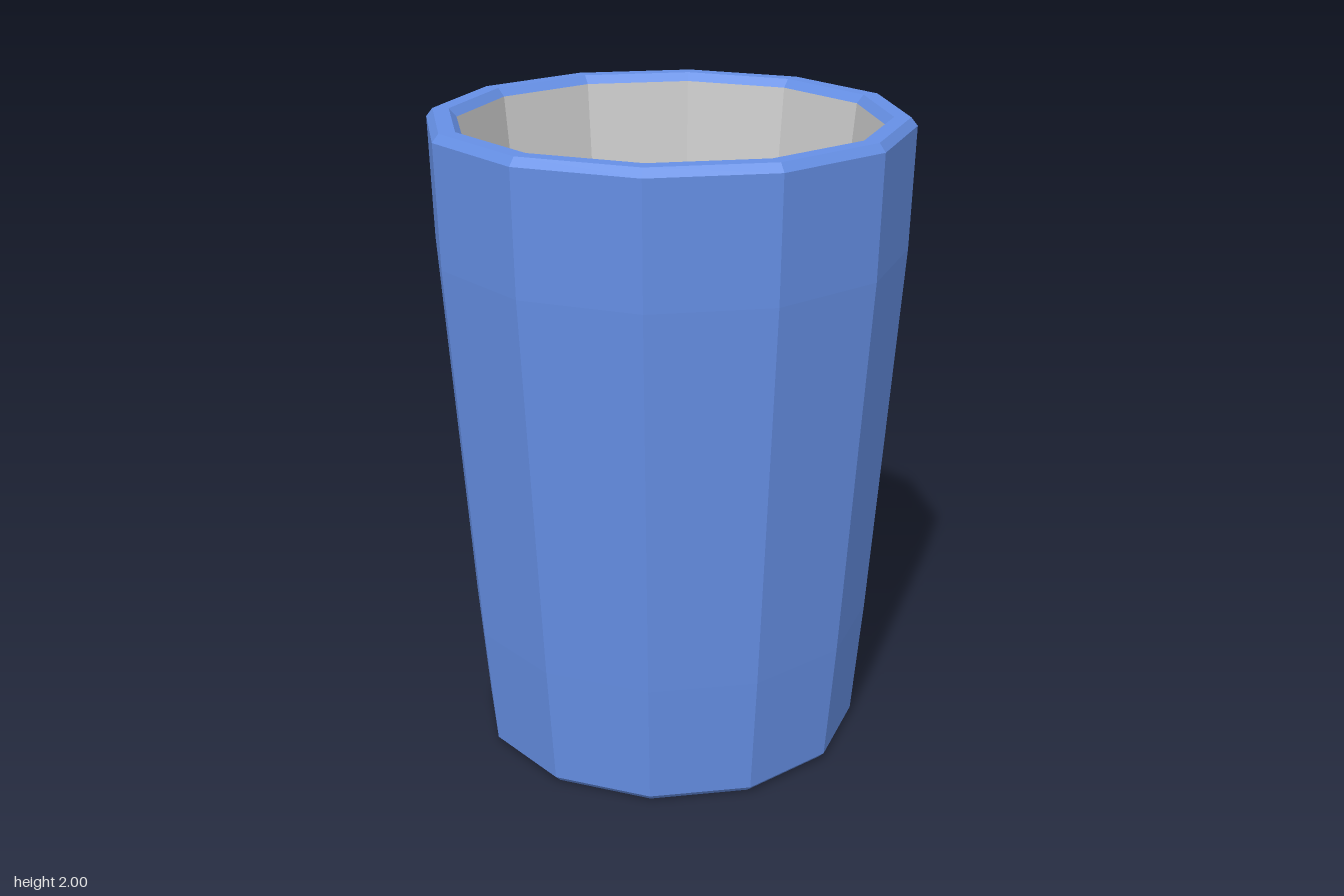
import * as THREE from 'three';

const SIDES = 12;

// Revolves [radius, height] points into a faceted ring of panels
function faceted(name, points, material) {
  const profile = points.map(([r, y]) => new THREE.Vector2(r, y));
  const mesh = new THREE.Mesh(new THREE.LatheGeometry(profile, SIDES), material);
  mesh.name = name;
  return mesh;
}

export function createModel() {
  const blue = new THREE.MeshStandardMaterial({ color: 0x6690e6, flatShading: true });
  const grey = new THREE.MeshStandardMaterial({ color: 0xcccccc, flatShading: true });
  const cup = new THREE.Group();
  cup.name = 'cup';

  // Closed base with a small bevel, then the gently curved outer wall
  cup.add(faceted('outerWall', [
    [0, 0], [0.585, 0], [0.605, 0.02], [0.638, 0.4], [0.724, 1.6], [0.735, 1.975],
  ], blue));

  // Bevelled lip
  cup.add(faceted('rim', [
    [0.735, 1.975], [0.715, 2], [0.665, 2], [0.642, 1.975],
  ], blue));

  // Inner wall running down to a bevelled floor
  cup.add(faceted('innerLining', [
    [0.642, 1.975], [0.605, 1.62], [0.517, 0.4], [0.505, 0.16], [0.485, 0.13], [0, 0.13],
  ], grey));

  return cup;
}
